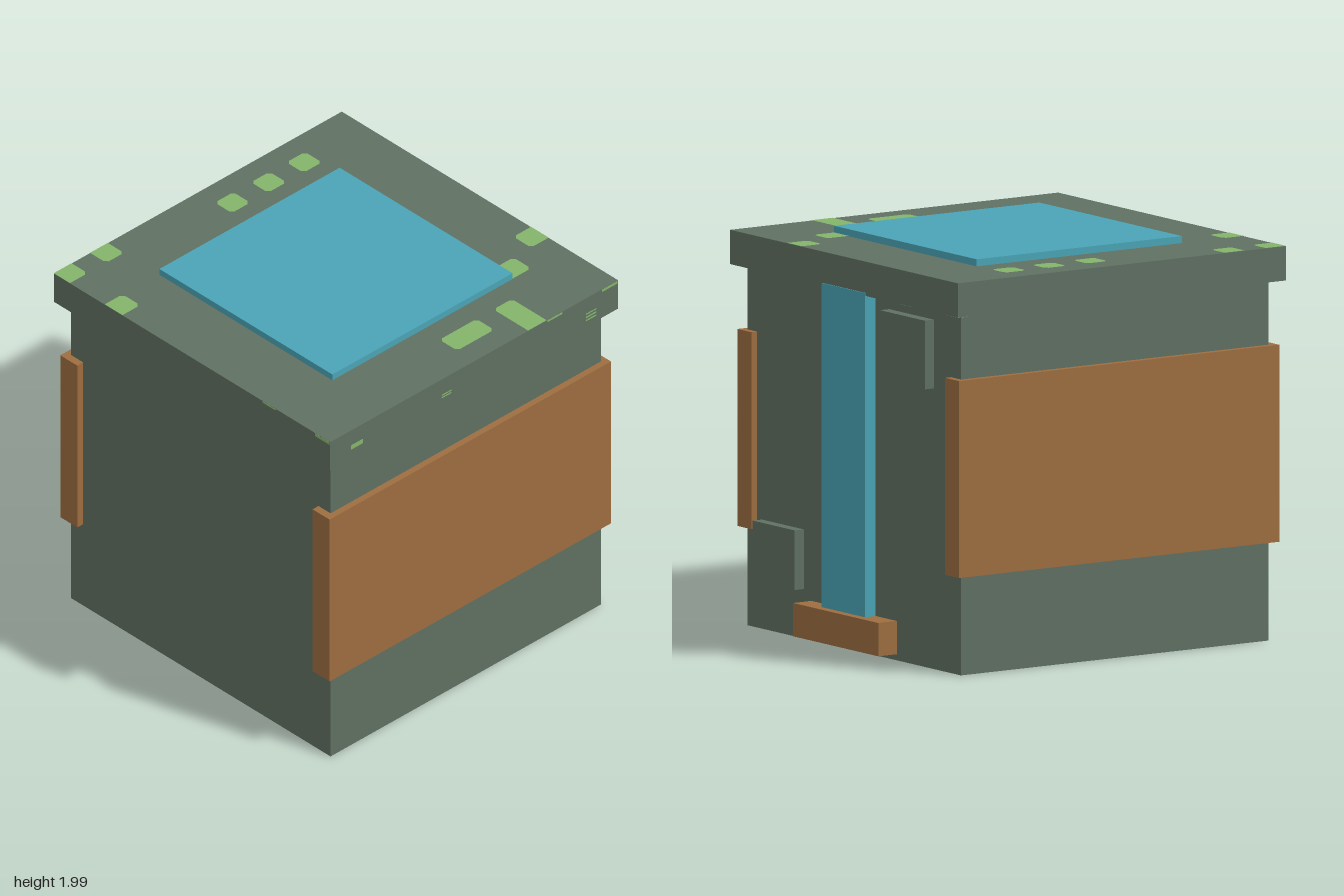
import * as THREE from 'three';

const paint = (name, color, side = THREE.FrontSide) => {
  const m = new THREE.MeshStandardMaterial({ color, side });
  m.name = name;
  return m;
};

export function createModel() {
  const model = new THREE.Group();
  model.name = 'crate';
  const stone = paint('greyGreen', 0x607062);
  const wood = paint('brown', 0x9d6d40);
  const teal = paint('teal', 0x4aa4b6);
  const moss = paint('mossGreen', 0x84b56a, THREE.DoubleSide);

  // Box given by its extents on each axis
  const block = (name, mat, [x0, x1], [y0, y1], [z0, z1]) => {
    const mesh = new THREE.Mesh(new THREE.BoxGeometry(x1 - x0, y1 - y0, z1 - z0), mat);
    mesh.position.set((x0 + x1) / 2, (y0 + y1) / 2, (z0 + z1) / 2);
    mesh.name = name;
    model.add(mesh);
  };

  // Body and lid
  block('body', stone, [-0.915, 0.915], [0, 1.785], [-0.89, 0.94]);
  block('lid', stone, [-0.975, 0.975], [1.785, 1.955], [-0.95, 1]);
  block('topPanel', teal, [-0.61, 0.61], [1.95, 1.99], [-0.585, 0.635]);

  // Wooden side panels
  block('leftPanel', wood, [0.83, 0.95], [0.49, 1.465], [-0.925, 0.98]);
  block('rightPanel', wood, [-0.95, -0.83], [0.49, 1.465], [-0.925, 0.98]);

  // Back: strip, foot ledge and two plates
  block('backStrip', teal, [-0.185, 0.185], [0.19, 1.8], [-0.955, -0.88]);
  block('backLedge', wood, [-0.365, 0.365], [0.03, 0.195], [-1, -0.88]);
  block('lowerPlate', stone, [0.43, 0.79], [0.245, 0.54], [-0.945, -0.88]);
  block('upperPlate', stone, [-0.685, -0.3], [1.39, 1.73], [-0.945, -0.88]);

  // Moss spots on the lid: corners are cut, except along the lid's rim
  const mossSpot = (x0, x1, z0, z1) => {
    const cut = 0.018;
    const corners = [[x0, z0, 1, 1], [x1, z0, -1, 1], [x1, z1, -1, -1], [x0, z1, 1, -1]];
    const points = [];
    corners.forEach(([x, z, sx, sz], i) => {
      const c = Math.abs(x) > 0.97 || z < -0.94 || z > 0.99 ? 0 : cut;
      const pair = [new THREE.Vector2(x, -(z + sz * c)), new THREE.Vector2(x + sx * c, -z)];
      points.push(...(c === 0 ? [pair[0]] : i % 2 ? pair.reverse() : pair));
    });
    const mesh = new THREE.Mesh(new THREE.ShapeGeometry(new THREE.Shape(points)), moss);
    mesh.rotation.x = -Math.PI / 2;
    mesh.position.y = 1.957;
    mesh.name = 'mossSpot';
    model.add(mesh);
  };
  [
    [0.36, 0.485, -0.95, -0.83], [0.485, 0.61, -0.71, -0.55],
    [-0.855, -0.735, -0.585, -0.46], [-0.855, -0.735, -0.345, -0.22],
    [-0.855, -0.735, -0.1, 0.025], [0.73, 0.975, -0.465, -0.34],
    [0.73, 0.855, -0.225, 0.025], [-0.975, -0.86, 0.635, 0.755],
    [-0.975, -0.86, 0.88, 1], [-0.615, -0.49, 0.88, 1],
  ].forEach((s) => mossSpot(...s));

  // Small moss flecks on the lid's left edge and front edge
  [[0.78, 0.86, 1.84, 1.865], [0.18, 0.245, 1.856, 1.862], [0.18, 0.245, 1.842, 1.848],
    [-0.8, -0.73, 1.856, 1.862], [-0.8, -0.73, 1.836, 1.844], [-0.8, -0.73, 1.818, 1.825],
    [-0.57, -0.47, 1.943, 1.953], [-0.945, -0.84, 1.94, 1.953],
  ].forEach(([z0, z1, y0, y1]) => block('sideFleck', moss, [0.97, 0.9765], [y0, y1], [z0, z1]));
  block('frontFleck', moss, [0.5, 0.59], [1.946, 1.953], [0.995, 1.0015]);
  block('frontFleck', moss, [0.87, 0.97], [1.937, 1.953], [0.995, 1.0015]);

  // Moss flecks under the lid's overhang
  block('underFleck', moss, [0.917, 0.973], [1.7835, 1.79], [0.38, 0.48]);
  block('underFleck', moss, [-0.58, -0.48], [1.7835, 1.79], [-0.948, -0.892]);
  block('underFleck', moss, [-0.973, -0.87], [1.7835, 1.79], [-0.948, -0.892]);

  return model;
}
